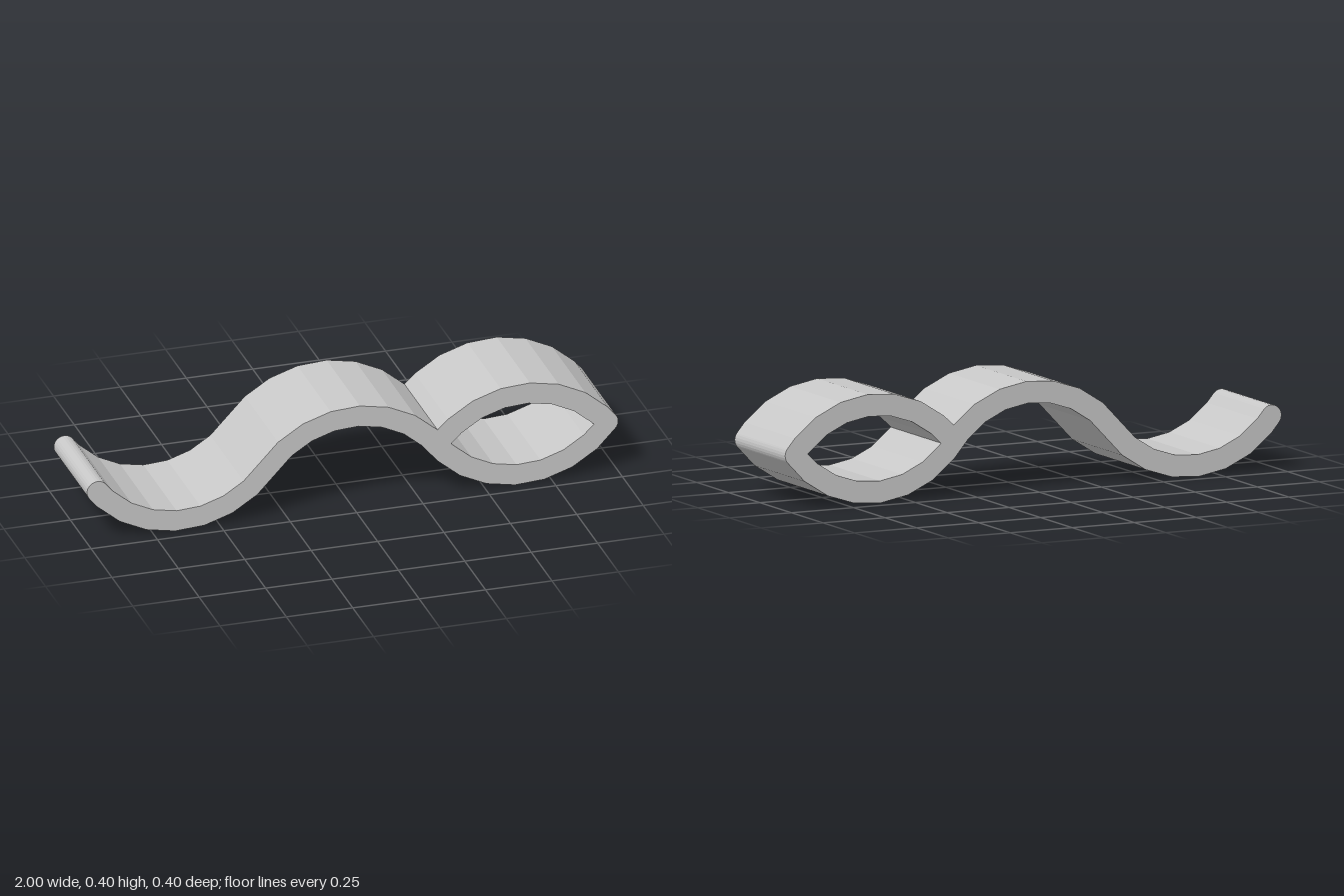
import * as THREE from 'three';

const DEG = Math.PI / 180;
const STEP = 360 / 25; // facet angle of every arc

// Points of a faceted arc, angles in degrees; phase shifts where the facet corners fall
function arc(cx, cy, r, from, to, phase = 0) {
  const lo = Math.min(from, to), hi = Math.max(from, to);
  const angles = [lo];
  for (let k = Math.ceil((lo - phase) / STEP); k * STEP + phase < hi; k++) {
    const a = k * STEP + phase;
    if (a > lo + 0.5 && a < hi - 0.5) angles.push(a);
  }
  angles.push(hi);
  if (from > to) angles.reverse();
  return angles.map(a => new THREE.Vector2(cx + r * Math.cos(a * DEG), cy + r * Math.sin(a * DEG)));
}

// Joins arcs into one loop, dropping the doubled end points
function joinArcs(...arcs) {
  const pts = arcs.flat();
  return pts.filter((p, i) => p.distanceTo(pts[(i + 1) % pts.length]) > 0.001);
}

export function createModel() {
  const grey = new THREE.MeshStandardMaterial({ color: 0xc8c8c8, flatShading: true });
  grey.name = 'light grey';

  const OUT = 0.44, IN = 0.36, CAP = 0.04;       // band radii and rounded ends
  const CREST = -0.04, TROUGH = 0.44;            // arc centre heights
  const A = Math.asin(0.6) / DEG;                // angle where crest meets trough
  const notch = Math.acos(0.32 / OUT) / DEG;     // valley between the two crests
  const tip = Math.asin(0.24 / IN) / DEG;        // corners of the eye-shaped opening

  // Wavy band with the closed loop at the left end
  const shape = new THREE.Shape(joinArcs(
    arc(-0.64, TROUGH, OUT, 180 + A, 360 - A, 180),
    arc(0, CREST, IN, 180 - A, A),
    arc(0.64, TROUGH, OUT, 180 + A, 360 - A, 180),
    arc(0.96, 0.2, CAP, -A, A),
    arc(0.64, CREST, OUT, A, 180 - notch),
    arc(0, CREST, OUT, notch, 180 - A),
    arc(-0.64, TROUGH, IN, 360 - A, 180 + A, 180),
    arc(-0.96, 0.2, CAP, A, 180 + A),
  ));

  // Opening of the loop
  shape.holes.push(new THREE.Path(joinArcs(
    arc(0.64, CREST, IN, tip, 180 - tip),
    arc(0.64, TROUGH, IN, 180 + tip, 360 - tip, 180),
  )));

  const geometry = new THREE.ExtrudeGeometry(shape, { depth: 0.4, bevelEnabled: false });
  geometry.translate(0, 0, -0.2);

  const band = new THREE.Mesh(geometry, grey);
  band.name = 'wavyHookBand';
  const group = new THREE.Group();
  group.name = 'waveHook';
  group.add(band);
  return group;
}
